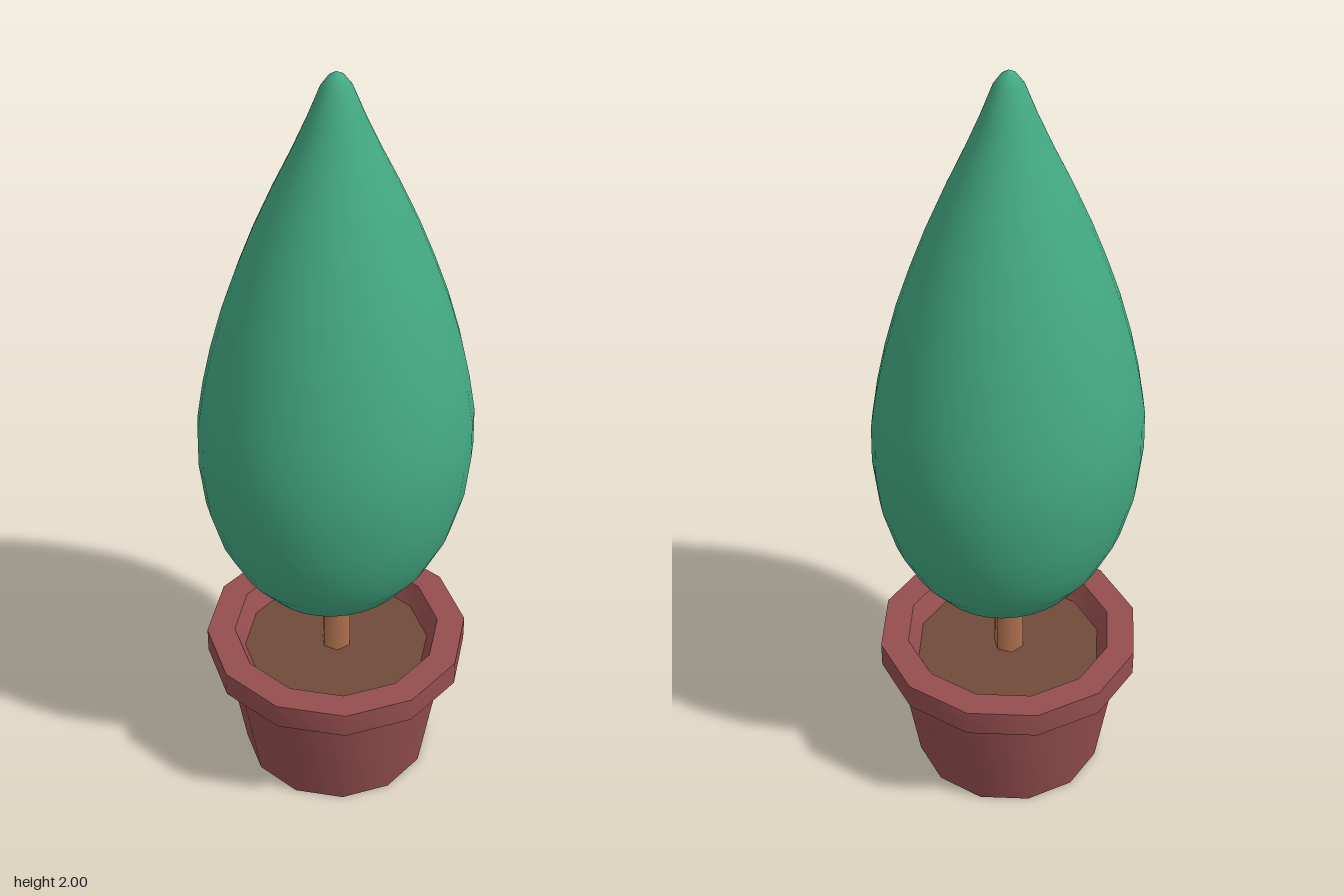
import * as THREE from 'three';
import { toCreasedNormals } from 'three/addons/utils/BufferGeometryUtils.js';

const material = (name, color) => {
  const m = new THREE.MeshStandardMaterial({ color });
  m.name = name;
  return m;
};

const lathe = (profile, sides) =>
  new THREE.LatheGeometry(profile.map(([r, y]) => new THREE.Vector2(r, y)), sides);

export function createModel() {
  const group = new THREE.Group();
  group.name = 'pottedTree';

  const add = (name, geometry, mat) => {
    const mesh = new THREE.Mesh(geometry, mat);
    mesh.name = name;
    group.add(mesh);
    return mesh;
  };

  // Twelve-sided pot: base, tapered wall, overhanging rim and inner wall
  const pot = lathe([
    [0, 0], [0.25, 0], [0.3, 0.315], [0.345, 0.333],
    [0.345, 0.403], [0.272, 0.403], [0.243, 0.34],
  ], 12);
  add('pot', toCreasedNormals(pot, THREE.MathUtils.degToRad(40)), material('terracotta', 0x954e4e));

  // Soil disc inside the rim
  const soil = add('soil', new THREE.CircleGeometry(0.246, 12), material('soil', 0x704b38));
  soil.rotation.x = -Math.PI / 2;
  soil.position.y = 0.345;

  // Slim six-sided trunk, with corners on the x axis
  const trunk = new THREE.CylinderGeometry(0.04, 0.04, 0.25, 6, 1, true);
  trunk.rotateY(Math.PI / 2).translate(0, 0.455, 0);
  add('trunk', trunk, material('bark', 0xb0734f));

  // Teardrop crown, slightly flattened front to back
  const crown = lathe([
    [0, 0.518], [0.055, 0.522], [0.13, 0.55], [0.2, 0.6], [0.258, 0.672],
    [0.305, 0.765], [0.337, 0.88], [0.35, 1.0], [0.348, 1.1], [0.331, 1.2],
    [0.308, 1.3], [0.276, 1.41], [0.24, 1.51], [0.2, 1.61], [0.152, 1.715],
    [0.105, 1.81], [0.066, 1.895], [0.037, 1.965], [0.018, 1.99], [0, 2],
  ], 32);
  crown.scale(1, 1, 0.915);
  add('crown', crown, material('foliage', 0x43a983));

  return group;
}
